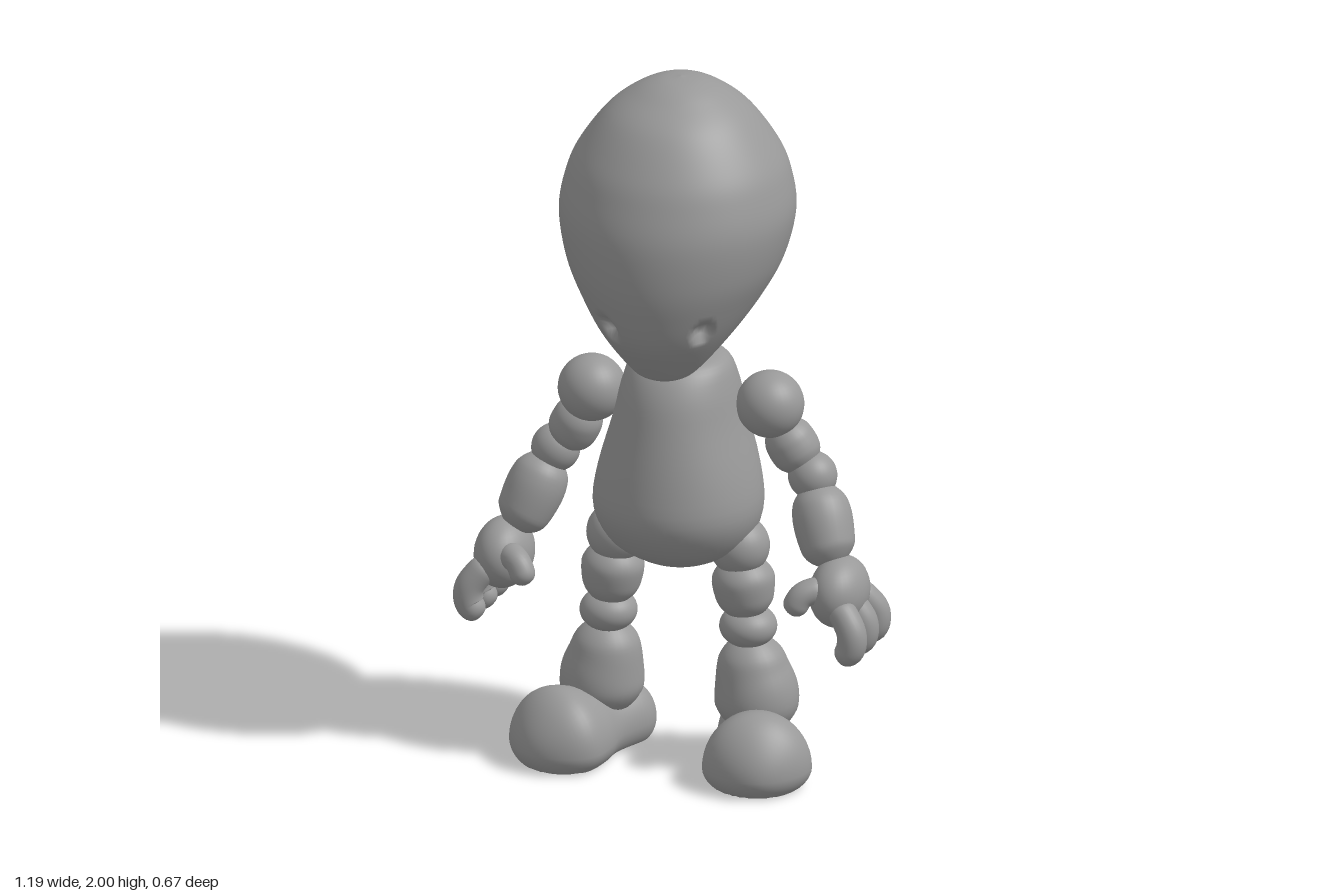
import * as THREE from 'three';
import { mergeVertices } from 'three/addons/utils/BufferGeometryUtils.js';
import { ParametricGeometry } from 'three/addons/geometries/ParametricGeometry.js';

const V = (x, y, z) => new THREE.Vector3(x, y, z);
const grey = new THREE.MeshStandardMaterial({ color: 0x999999 });
grey.name = 'plain grey';

function mesh(name, geometry) {
  const m = new THREE.Mesh(geometry, grey);
  m.name = name;
  return m;
}

// Smooth closed skin: u runs around, v along, eased so the ends are finely cut
function skin(f, nu, nv) {
  const g = new ParametricGeometry(
    (u, v, out) => out.copy(f(u * Math.PI * 2, (1 - Math.cos(v * Math.PI)) / 2)), nu, nv);
  g.deleteAttribute('normal');
  g.deleteAttribute('uv');
  const merged = mergeVertices(g, 1e-5);
  merged.computeVertexNormals();
  return merged;
}

const spline = (pts) => new THREE.CatmullRomCurve3(pts, false, 'catmullrom', 0.5);
const round = (d, c) => (d < c ? Math.sqrt(Math.max(0, 1 - (1 - d / c) ** 2)) : 1);

// Body of stacked ellipses; rows are [y, half width, front z, back z]
function stack(rows, nu, nv, adjust = (p) => p) {
  const a = spline(rows.map((r) => V(r[0], r[1], 0)));
  const b = spline(rows.map((r) => V(r[2], r[3], 0)));
  return skin((angle, t) => {
    const p = a.getPoint(t), q = b.getPoint(t);
    return adjust(V(Math.sin(angle) * Math.max(0, p.y), p.x,
      (q.x + q.y) / 2 + Math.cos(angle) * (q.x - q.y) / 2));
  }, nu, nv);
}

// Round-ended limb; points are [x, y, z, radius]
function limb(points, s, dz) {
  const path = spline(points.map((p) => V(p[0] * s, p[1], p[2] + dz)));
  const radius = spline(points.map((p) => V(p[3], 0, 0)));
  const first = path.getPoint(0), last = path.getPoint(1);
  const r0 = points[0][3], r1 = points[points.length - 1][3];
  return skin((angle, t) => {
    const p = path.getPoint(t), T = path.getTangent(t);
    const N = V(0, 0, 1).addScaledVector(T, -T.z).normalize();
    const B = T.clone().cross(N);
    const r = radius.getPoint(t).x * round(p.distanceTo(first), r0) * round(p.distanceTo(last), r1);
    return p.addScaledVector(N, r * Math.cos(angle)).addScaledVector(B, r * Math.sin(angle));
  }, 28, 32);
}

function ball(name, x, y, z, rx, ry = rx, rz = rx) {
  const m = mesh(name, new THREE.SphereGeometry(1, 32, 24));
  m.position.set(x, y, z);
  m.scale.set(rx, ry, rz);
  return m;
}

// Shoe with a flat sole; rows are [z, half width, height]
function shoe() {
  const rows = [[-0.165, 0.09, 0.155], [-0.07, 0.098, 0.165], [0.03, 0.1, 0.165],
    [0.1, 0.13, 0.19], [0.17, 0.15, 0.212], [0.24, 0.148, 0.205], [0.31, 0.13, 0.18]];
  const curve = spline(rows.map((r) => V(r[1], r[2], r[0])));
  const mid = 0.055;
  return skin((angle, t) => {
    const p = curve.getPoint(t);
    const k = round(p.z + 0.165, 0.09) * round(0.31 - p.z, 0.13);
    const sn = Math.sin(angle), cs = Math.cos(angle);
    const y = sn > 0 ? mid + (p.y - mid) * sn * k : mid - mid * Math.min(1, -sn * 1.6 * k);
    return V(cs * p.x * k, y, p.z);
  }, 48, 40);
}

function arm(s, dz) {
  const g = new THREE.Group();
  g.name = s > 0 ? 'leftArm' : 'rightArm';
  const add = (name, pts) => g.add(mesh(name, limb(pts, s, dz)));
  g.add(ball('shoulder', 0.25 * s, 1.05, -0.06 + dz, 0.094));
  add('upperArm', [[0.27, 1.0, -0.07, 0.06], [0.31, 0.92, -0.085, 0.071], [0.35, 0.855, -0.085, 0.055]]);
  g.add(ball('elbow', 0.365 * s, 0.845, -0.085 + dz, 0.068));
  add('forearm', [[0.38, 0.83, -0.08, 0.06], [0.405, 0.75, -0.05, 0.082],
    [0.435, 0.67, -0.02, 0.076], [0.46, 0.62, 0, 0.06]]);
  // Hand curled into a loose grip
  g.add(ball('palm', 0.48 * s, 0.555, 0.01 + dz, 0.08, 0.1, 0.112));
  for (const z of [0.1, 0.01, -0.08]) {
    add('finger', [[0.495, 0.55, z * 0.7 + 0.005, 0.04], [0.547, 0.48, z, 0.041],
      [0.545, 0.425, z * 1.03, 0.041], [0.505, 0.405, z * 1.03, 0.037]]);
  }
  add('thumb', [[0.46, 0.58, 0.06, 0.04], [0.405, 0.565, 0.1, 0.036], [0.378, 0.51, 0.115, 0.036]]);
  return g;
}

function leg(s, dz) {
  const g = new THREE.Group();
  g.name = s > 0 ? 'leftLeg' : 'rightLeg';
  const add = (name, pts) => g.add(mesh(name, limb(pts, s, dz)));
  g.add(ball('hip', 0.175 * s, 0.635, -0.02 + dz, 0.084));
  add('thigh', [[0.18, 0.61, -0.02, 0.075], [0.187, 0.53, -0.02, 0.087], [0.197, 0.42, -0.022, 0.066]]);
  g.add(ball('knee', 0.2 * s, 0.4, -0.022 + dz, 0.08, 0.06, 0.08));
  add('shin', [[0.203, 0.375, -0.025, 0.07], [0.21, 0.28, -0.028, 0.1],
    [0.222, 0.19, -0.03, 0.117], [0.222, 0.08, -0.03, 0.1]]);
  const foot = mesh('foot', shoe());
  foot.position.set(0.215 * s, 0, -0.03 + dz);
  foot.rotation.y = 0.4 * s;
  g.add(foot);
  return g;
}

export function createModel() {
  const model = new THREE.Group();
  model.name = 'jointedFigure';

  // Tilted egg head with two hollow eye sockets
  const eyes = [V(0.16, 1.355, 0.225), V(-0.1, 1.355, 0.275)];
  const centre = V(0.03, 1.4, 0);
  const socket = (p) => {
    for (const e of eyes) {
      const k = 1 - THREE.MathUtils.smoothstep(p.distanceTo(e), 0.018, 0.042);
      if (k > 0) p.addScaledVector(centre.clone().sub(p).normalize(), 0.032 * k);
    }
    return p;
  };
  model.add(mesh('head', stack([
    [1.155, 0, 0.11, 0.11], [1.167, 0.06, 0.16, 0.05], [1.2, 0.105, 0.2, -0.02],
    [1.3, 0.185, 0.28, -0.16], [1.4, 0.25, 0.317, -0.26], [1.5, 0.299, 0.333, -0.312],
    [1.62, 0.325, 0.328, -0.335], [1.72, 0.311, 0.298, -0.322], [1.8, 0.278, 0.26, -0.293],
    [1.9, 0.205, 0.185, -0.226], [1.96, 0.13, 0.1, -0.155], [1.99, 0.065, 0.036, -0.095],
    [2, 0, -0.03, -0.03]], 160, 110, socket)));

  // Pear-shaped torso
  model.add(mesh('torso', stack([
    [0.565, 0, -0.02, -0.02], [0.572, 0.065, 0.045, -0.085], [0.6, 0.135, 0.11, -0.155],
    [0.65, 0.2, 0.175, -0.215], [0.74, 0.235, 0.222, -0.243], [0.85, 0.223, 0.213, -0.245],
    [1.0, 0.182, 0.18, -0.228], [1.1, 0.16, 0.15, -0.204], [1.165, 0.135, 0.105, -0.165],
    [1.187, 0.085, 0.05, -0.11], [1.19, 0, -0.03, -0.03]], 64, 56)));

  // Limbs, with the right side held slightly further forward
  for (const [s, armShift, legShift] of [[1, 0, 0], [-1, 0.06, 0.025]]) {
    model.add(arm(s, armShift), leg(s, legShift));
  }
  return model;
}
